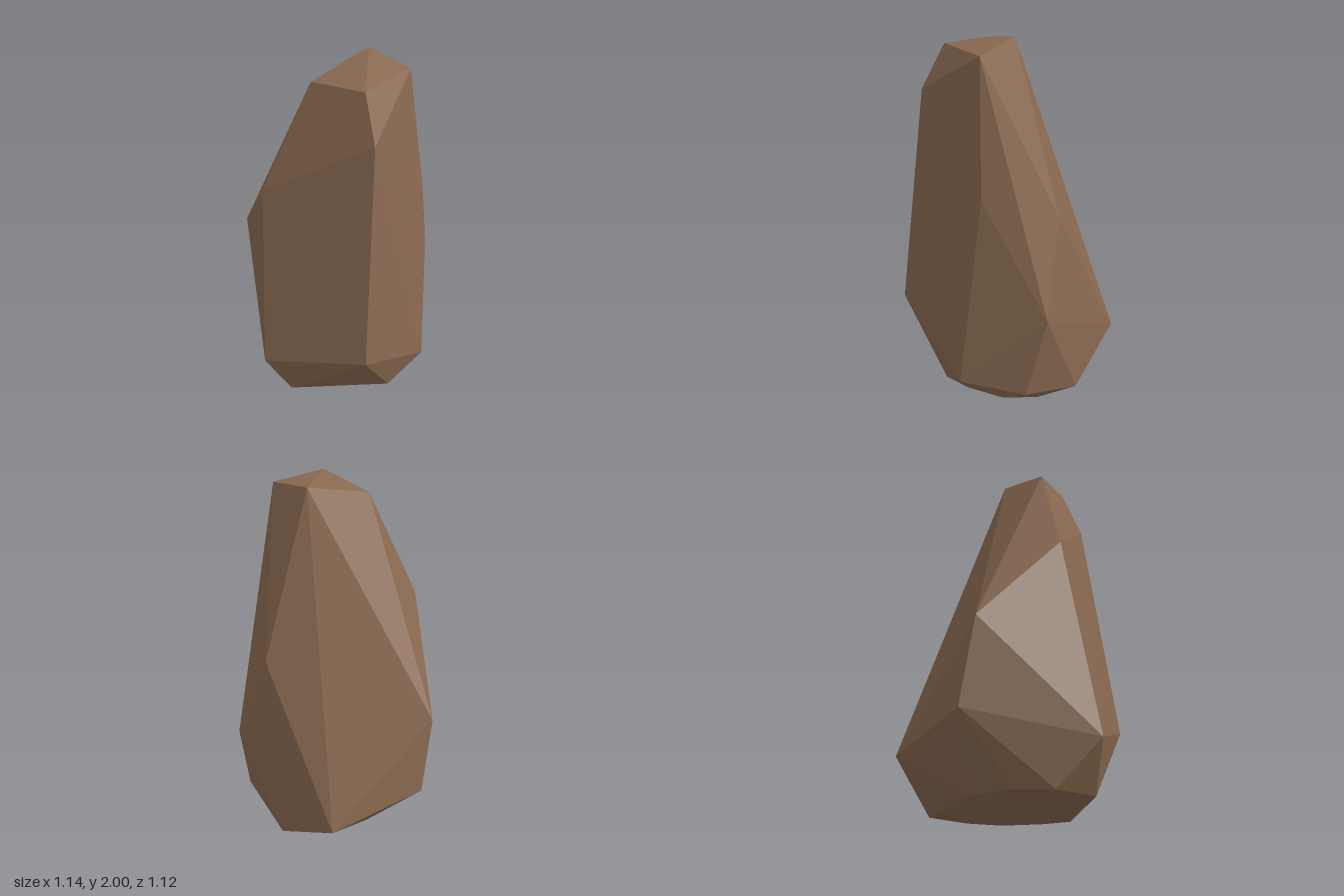
import * as THREE from 'three';
import { ConvexGeometry } from 'three/addons/geometries/ConvexGeometry.js';

export function createModel() {
  const group = new THREE.Group();
  group.name = 'rock';

  const brownStone = new THREE.MeshStandardMaterial({ color: 0x8a6a51, flatShading: true });
  brownStone.name = 'brown stone';

  // Corners of the faceted boulder, from the tip down to the ground
  const tip = [
    [0.135, 2.0, 0.02], [-0.2, 1.91, 0.035], [-0.07, 1.945, 0.31], [0.23, 1.955, 0.24],
  ];
  const shoulders = [
    [-0.09, 1.72, 0.43], [-0.45, 1.32, -0.05], [0.32, 1.25, 0.28], [0.43, 1.13, -0.1],
    [-0.35, 0.8, -0.51],
  ];
  const belly = [
    [0.57, 0.61, 0.02], [-0.2, 0.45, 0.56], [-0.29, 0.34, -0.555], [-0.57, 0.25, 0.08],
    [0.25, 0.23, -0.56], [0.295, 0.14, 0.41], [0.505, 0.11, 0.11],
  ];
  const foot = [
    [0.06, 0, 0.41], [0.2, 0, 0.33], [0.36, 0, 0.18], [0.43, 0, 0], [0.43, 0, -0.24],
    [-0.06, 0, -0.35], [-0.31, 0, -0.26], [-0.43, 0, -0.1], [-0.44, 0, 0.14],
  ];

  const corners = [...tip, ...shoulders, ...belly, ...foot].map((p) => new THREE.Vector3(...p));
  const boulder = new THREE.Mesh(new ConvexGeometry(corners), brownStone);
  boulder.name = 'boulder';
  group.add(boulder);
  return group;
}
